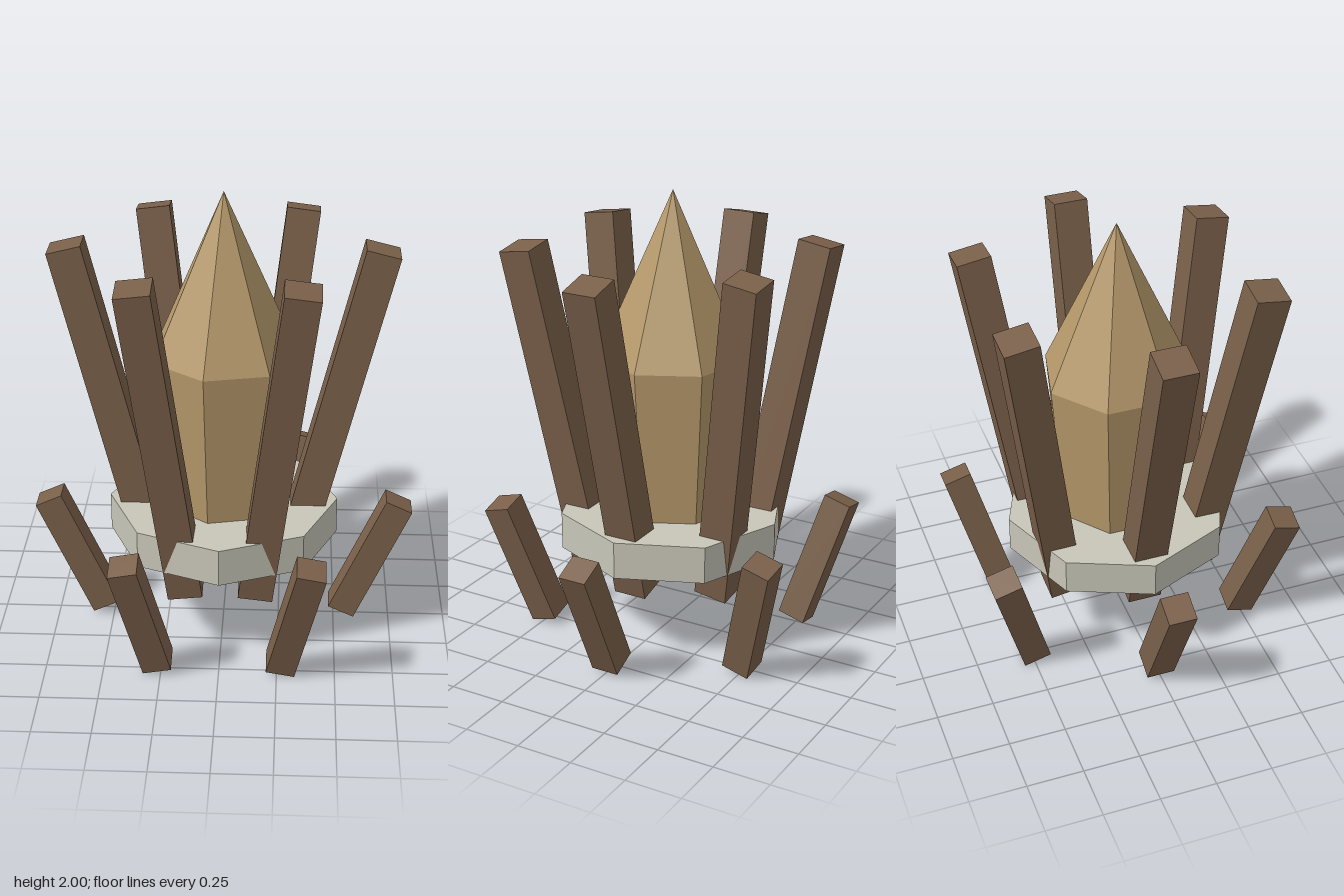
import * as THREE from 'three';

const material = (color) => new THREE.MeshStandardMaterial({ color, flatShading: true });

export function createModel() {
  const group = new THREE.Group();
  const wood = material(0x7a604a);
  const tan = material(0xb6996b);
  const stone = material(0xc8c6b8);

  const add = (name, geometry, mat, x, y, z) => {
    const mesh = new THREE.Mesh(geometry, mat);
    mesh.name = name;
    mesh.position.set(x, y, z);
    group.add(mesh);
    return mesh;
  };

  // Seven-sided core with a pointed tip, one corner facing +x
  const SIDES = 7, START = Math.PI / 2;
  const bottom = 0.335, shoulder = 1.28, apex = 2;
  add('coreShaft',
    new THREE.CylinderGeometry(0.325, 0.245, shoulder - bottom, SIDES, 1, false, START),
    tan, 0, (bottom + shoulder) / 2, 0);
  add('coreTip',
    new THREE.ConeGeometry(0.325, apex - shoulder, SIDES, 1, true, START),
    tan, 0, (shoulder + apex) / 2, 0);

  // Octagonal collar around the core
  add('collar', new THREE.CylinderGeometry(0.505, 0.505, 0.165, 8), stone, 0, 0.5025, 0);

  // Six outward-leaning beams, spaced evenly around the core
  const beamRing = (name, width, length, radius, y, leanX, leanZ) => {
    const geometry = new THREE.BoxGeometry(width, length, width);
    for (let i = 0; i < 6; i++) {
      const c = Math.cos(i * Math.PI / 3), s = Math.sin(i * Math.PI / 3);
      const beam = add(name + (i + 1), geometry, wood, radius * c, y, radius * s);
      beam.rotation.set(leanZ * s, 0, -leanX * c);
    }
  };
  beamRing('tallPost', 0.15, 1.5, 0.486, 1.03, 0.245, 0.17);
  beamRing('shortStake', 0.125, 0.59, 0.656, 0.308, 0.428, 0.308);

  return group;
}
